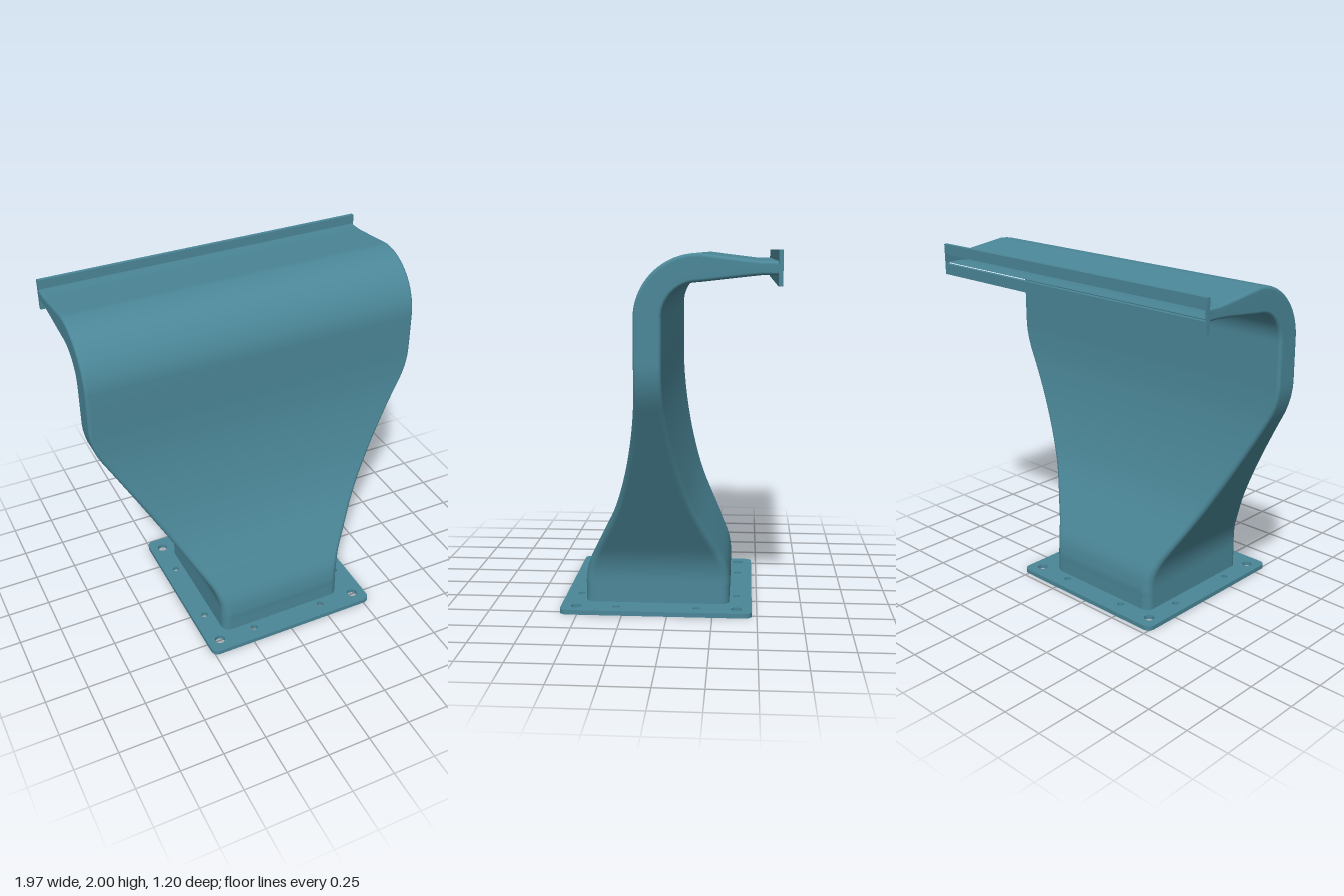
import * as THREE from 'three';

const WALL = 0.012;
const CZ = 0.0625; // depth centre of the upright duct

// Rounded rectangle outline, usable as Shape or hole Path
function roundRect(path, cx, cy, hw, hh, r) {
  const corners = [[1, 1, 0], [-1, 1, 1], [-1, -1, 2], [1, -1, 3]];
  corners.forEach(([sx, sy, k], i) => {
    const x = cx + sx * (hw - r), y = cy + sy * (hh - r), a = k * Math.PI / 2;
    if (i === 0) path.moveTo(x + r, y);
    path.absarc(x, y, r, a, a + Math.PI / 2, false);
  });
  path.closePath();
  return path;
}

function circleHole(x, y, r) {
  return new THREE.Path().absarc(x, y, r, 0, Math.PI * 2, true);
}

// Ramp starting at k, with its knee rounded over +-h
function ramp(y, k, h) {
  if (y <= k - h) return 0;
  if (y >= k + h) return y - k;
  return (y - k + h) ** 2 / (4 * h);
}
const halfWidth = y => 0.385 + 0.559 * (ramp(y, 0.254, 0.1) - ramp(y, 1.328, 0.11));

// Cross-sections along the duct: centre, tilt, half width, half depth, corner radius
function ductStations(startY) {
  const list = [];
  const add = (y, z, a, w, d) => {
    const t = THREE.MathUtils.clamp((y - 0.2) / 1.2, 0, 1);
    list.push({ y, z, a, w, d, r: Math.min(0.05 - 0.032 * t, d * 0.45) });
  };
  // square foot widening into a flat fan
  add(startY, CZ, 0, 0.385, 0.4075);
  const depth = new THREE.SplineCurve([
    [0.1, 0.4075], [0.16, 0.4075], [0.25, 0.39], [0.36, 0.34], [0.6, 0.222], [0.8, 0.155],
    [1.0, 0.109], [1.2, 0.079], [1.36, 0.07], [1.46, 0.07],
  ].map(p => new THREE.Vector2(...p)));
  depth.getPoints(72).forEach(p => add(p.x, CZ, 0, halfWidth(p.x), p.y));
  // quarter bend to the back
  for (let i = 0; i <= 24; i++) {
    const a = i / 24 * Math.PI / 2;
    add(1.665 + 0.25 * Math.sin(a), -0.1875 + 0.25 * Math.cos(a), a, 0.985, 0.07);
  }
  // taper to the slot
  for (let i = 1; i <= 8; i++) {
    const t = i / 8;
    add(1.915 - 0.002 * t, -0.1875 - 0.3125 * t, Math.PI / 2, 0.985, 0.07 - 0.037 * t);
  }
  add(1.913, -0.58, Math.PI / 2, 0.985, 0.033);
  return list;
}

// Skin through the stations; inset > 0 makes the inward-facing lining
function loft(stations, inset) {
  const pos = [], idx = [], seg = 6, n = 4 * (seg + 1);
  const signs = [[1, 1], [-1, 1], [-1, -1], [1, -1]];
  for (const s of stations) {
    const w = s.w - inset, d = s.d - inset, r = Math.max(s.r - inset, 0.004);
    signs.forEach(([su, sv], k) => {
      for (let j = 0; j <= seg; j++) {
        const a = (k + j / seg) * Math.PI / 2;
        const u = su * (w - r) + r * Math.cos(a), v = sv * (d - r) + r * Math.sin(a);
        pos.push(u, s.y + v * Math.sin(s.a), s.z + v * Math.cos(s.a));
      }
    });
  }
  for (let j = 0; j < stations.length - 1; j++) {
    for (let i = 0; i < n; i++) {
      const a = j * n + i, b = j * n + (i + 1) % n, c = a + n, d = b + n;
      if (inset > 0) idx.push(a, b, c, b, d, c);
      else idx.push(a, c, b, b, c, d);
    }
  }
  const g = new THREE.BufferGeometry();
  g.setAttribute('position', new THREE.Float32BufferAttribute(pos, 3));
  g.setIndex(idx);
  g.computeVertexNormals();
  return g;
}

export function createModel() {
  const group = new THREE.Group();
  const paint = new THREE.MeshStandardMaterial({ color: 0x4b8798 });
  paint.name = 'tealPaint';
  const add = (name, geometry) => {
    const mesh = new THREE.Mesh(geometry, paint);
    mesh.name = name;
    group.add(mesh);
    return mesh;
  };

  // Duct shell and its lining
  add('ductOuter', loft(ductStations(0.02), 0));
  add('ductLining', loft(ductStations(0.001), WALL));

  // Bolted base plate, slightly off centre from the duct
  const px = 0.015, pz = 0.0635;
  const base = roundRect(new THREE.Shape(), px, -pz, 0.527, 0.535, 0.04);
  base.holes.push(roundRect(new THREE.Path(), 0, -CZ, 0.385 - WALL, 0.4075 - WALL, 0.038));
  for (const sx of [-1, 1]) {
    for (const sz of [-1, 1]) {
      base.holes.push(circleHole(px + sx * 0.45, -pz + sz * 0.45, 0.03));
      base.holes.push(circleHole(px + sx * 0.225, -pz + sz * 0.45, 0.02));
      base.holes.push(circleHole(px + sx * 0.45, -pz + sz * 0.225, 0.02));
    }
  }
  const baseGeo = new THREE.ExtrudeGeometry(base, { depth: 0.026, bevelEnabled: false, curveSegments: 12 });
  baseGeo.rotateX(-Math.PI / 2);
  add('basePlate', baseGeo);

  // Slotted flange at the outlet
  const lip = new THREE.Shape([[-0.985, 1.825], [0.985, 1.825], [0.985, 2], [-0.985, 2]]
    .map(p => new THREE.Vector2(...p)));
  lip.holes.push(roundRect(new THREE.Path(), 0, 1.913, 0.985 - WALL, 0.033 - WALL * 0.5, 0.004));
  const lipGeo = new THREE.ExtrudeGeometry(lip, { depth: 0.022, bevelEnabled: false, curveSegments: 4 });
  lipGeo.translate(0, 0, -0.598);
  add('outletFlange', lipGeo);

  return group;
}
